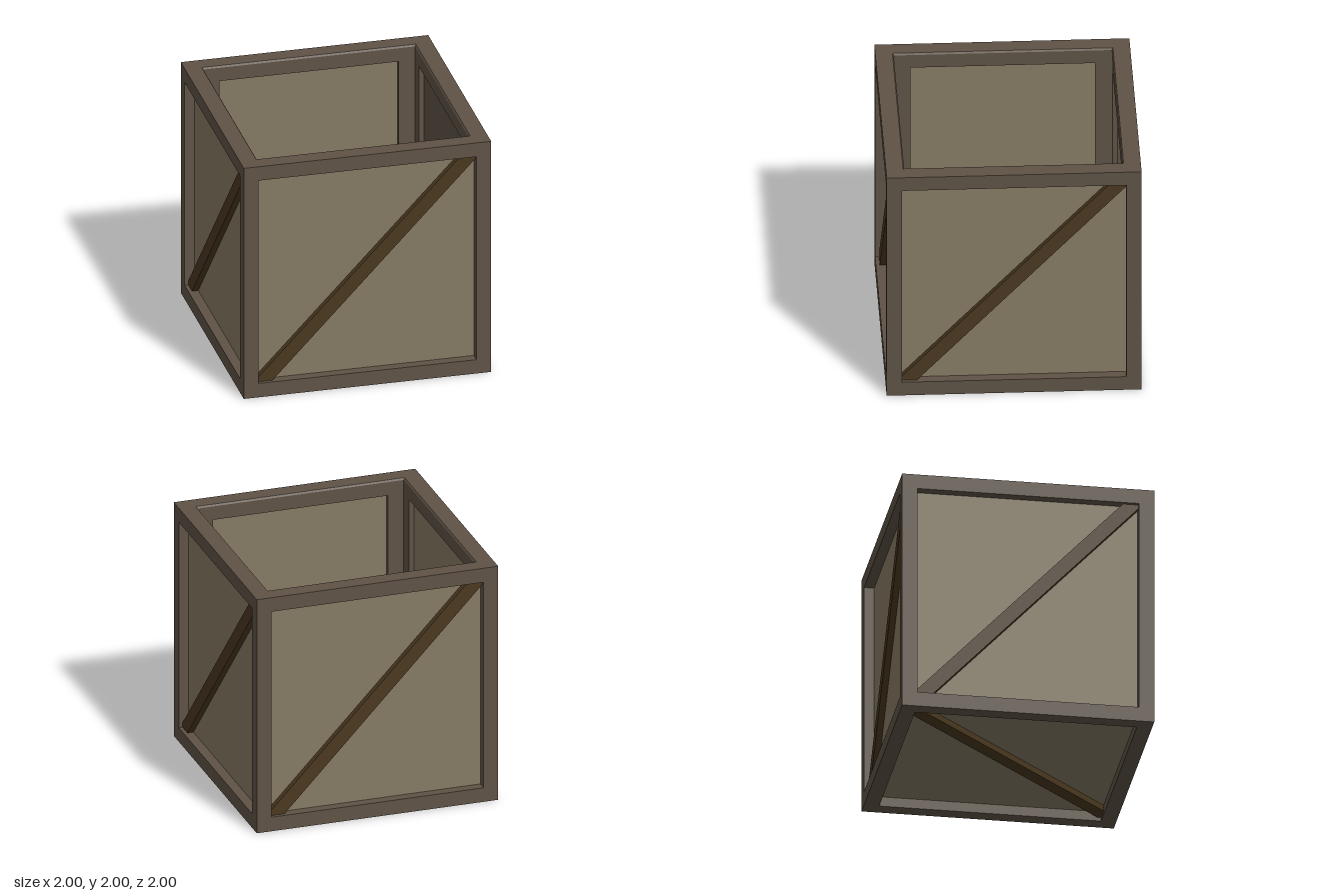
import * as THREE from 'three';

const mat = (color) => new THREE.MeshStandardMaterial({ color, flatShading: true });

// Joins successive rectangles [halfWidth, bottom, top, depth] with quads
function loftRects(loops) {
  const pos = [];
  const corners = ([w, b, t, z]) => [[-w, b, z], [w, b, z], [w, t, z], [-w, t, z]];
  for (let i = 0; i < loops.length - 1; i++) {
    const a = corners(loops[i]), b = corners(loops[i + 1]);
    for (let k = 0; k < 4; k++) {
      const n = (k + 1) % 4;
      pos.push(...a[k], ...a[n], ...b[n], ...a[k], ...b[n], ...b[k]);
    }
  }
  const g = new THREE.BufferGeometry();
  g.setAttribute('position', new THREE.Float32BufferAttribute(pos, 3));
  g.computeVertexNormals();
  return g;
}

const square = (h, z) => [h, -h, h, z];

export function createModel() {
  const wood = mat(0x5f5346), board = mat(0x857a63), dark = mat(0x4a3820);
  const OUT = 0.88, IN = 0.725, CAVITY = 0.855, FACE = 0.92, BACK = 0.895;

  const outerFrame = loftRects([square(1, 1), square(OUT, 1), square(OUT, FACE)]);

  // Diagonal brace clipped to the corners of the frame opening
  const e = OUT, braceShape = new THREE.Shape([
    [-e, -e], [-0.76, -e], [e, 0.85], [e, e], [0.755, e], [-e, -0.845],
  ].map(([x, y]) => new THREE.Vector2(x, y)));
  const braceGeo = new THREE.ExtrudeGeometry(braceShape, { depth: 0.05, bevelEnabled: false });

  // One side of the crate, facing local +z
  function makeSide(name, isFloor, innerMat) {
    const side = new THREE.Group();
    side.name = name;
    const add = (part, geo, m) => {
      const mesh = new THREE.Mesh(geo, m);
      mesh.name = part;
      side.add(mesh);
      return mesh;
    };
    const top = isFloor ? CAVITY : 0.985, holeTop = isFloor ? IN : 0.87;
    add('outerFrame', outerFrame, wood);
    add('innerFrame', loftRects([
      [IN, -IN, holeTop, BACK], [IN, -IN, holeTop, CAVITY], [CAVITY, -CAVITY, top, CAVITY],
    ]), wood);
    add('outerPanel', new THREE.PlaneGeometry(2 * OUT, 2 * OUT), board).position.z = FACE;
    const inner = add('innerPanel', new THREE.PlaneGeometry(2 * IN, holeTop + IN), innerMat);
    inner.position.set(0, (holeTop - IN) / 2, BACK);
    inner.rotation.y = Math.PI;
    add('diagonalBrace', braceGeo, dark).position.z = FACE;
    return side;
  }

  const crate = new THREE.Group();
  crate.name = 'crate';
  crate.position.y = 1;

  // Four walls turned around the vertical axis
  ['frontWall', 'leftWall', 'backWall', 'rightWall'].forEach((name, i) => {
    const wall = makeSide(name, false, i === 1 ? wood : board);
    wall.rotation.y = i * Math.PI / 2;
    crate.add(wall);
  });

  const floor = makeSide('floor', true, board);
  floor.rotation.x = Math.PI / 2;
  crate.add(floor);

  // Open top rim with a small chamfer into the cavity
  const rim = new THREE.Mesh(
    loftRects([square(1, 1), square(0.865, 1), square(CAVITY, 0.985)]), wood);
  rim.name = 'topRim';
  rim.rotation.x = -Math.PI / 2;
  crate.add(rim);

  const model = new THREE.Group();
  model.name = 'openCrate';
  model.add(crate);
  return model;
}
